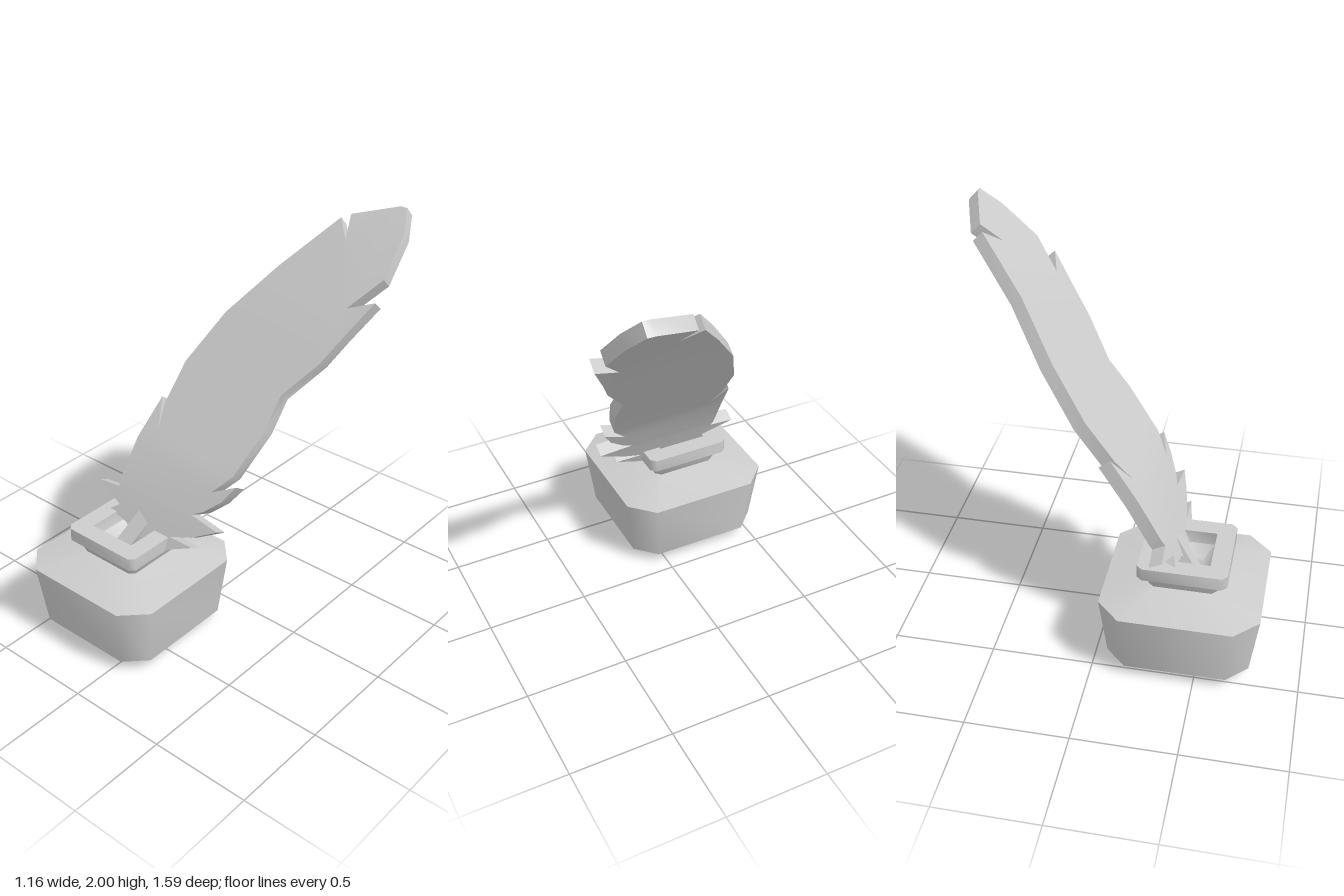
import * as THREE from 'three';
import { toCreasedNormals } from 'three/addons/utils/BufferGeometryUtils.js';

const grey = new THREE.MeshStandardMaterial({ color: 0xcccccc });
grey.name = 'plain grey';

function meshFrom(points, crease, name) {
  const g = new THREE.BufferGeometry().setFromPoints(points);
  const mesh = new THREE.Mesh(toCreasedNormals(g, crease), grey);
  mesh.name = name;
  return mesh;
}

// Square ring with cut corners: half width, corner cut, height
function ring([h, c, y]) {
  const k = h - c;
  return [[h, -k], [h, k], [k, h], [-k, h], [-h, k], [-h, -k], [-k, -h], [k, -h]]
    .map(([x, z]) => new THREE.Vector3(x, y, z));
}

// Ink bottle: body, neck, collar and hollow mouth in one lofted skin
function createBottle() {
  const rings = [
    [0.22, 0.06, 0], [0.345, 0.1, 0.055], [0.385, 0.115, 0.37],
    [0.165, 0.025, 0.42], [0.19, 0.025, 0.49], [0.215, 0.025, 0.49],
    [0.215, 0.025, 0.555], [0.125, 0.004, 0.555], [0.12, 0.004, 0.49], [0.07, 0.004, 0.43],
  ].map(ring);
  const tris = [];
  for (let r = 0; r < rings.length - 1; r++) {
    const lo = rings[r], up = rings[r + 1];
    for (let i = 0; i < 8; i++) {
      const j = (i + 1) % 8;
      tris.push(lo[i], up[i], up[j], lo[i], up[j], lo[j]);
    }
  }
  const base = rings[0], well = rings[rings.length - 1];
  for (let i = 1; i < 7; i++) {
    tris.push(base[0], base[i], base[i + 1], well[0], well[i + 1], well[i]);
  }
  const bottle = meshFrom(tris, 0.9, 'inkBottle');
  bottle.position.set(-0.2, 0, 0.41);
  return bottle;
}

// Backward lean of the feather: height to depth
const lean = [[0.5, 0.4], [0.65, 0.33], [0.87, 0.205], [1.2, -0.05], [1.67, -0.405], [2, -0.745]];
function depthAt(y) {
  let i = 0;
  while (i < lean.length - 2 && y > lean[i + 1][0]) i++;
  const [y0, z0] = lean[i], [y1, z1] = lean[i + 1];
  return z0 + (z1 - z0) * (y - y0) / (y1 - y0);
}

// Feather vane: outline runs up the left side, over the tip and down the right side
function createVane() {
  const outline = [
    [-0.1, 0.5], [0.02, 0.5], [0.16, 0.56], [0.02, 0.56], [0.14, 0.6], [0.27, 0.67],
    [0.1, 0.69], [0.16, 0.72], [0.24, 0.79], [0.29, 0.87], [0.17, 0.81], [0.25, 0.9],
    [0.31, 1.1], [0.315, 1.24], [0.44, 1.4], [0.5, 1.52], [0.58, 1.67], [0.455, 1.62],
    [0.565, 1.75], [0.55, 1.91], [0.5, 2], [0.465, 2], [0.245, 1.93], [0.285, 1.84],
    [0.205, 1.91], [0.02, 1.69], [-0.155, 1.46], [-0.26, 1.23], [-0.275, 1.05], [-0.25, 0.95],
    [-0.305, 1.07], [-0.345, 0.89], [-0.36, 0.7], [-0.355, 0.665], [-0.48, 0.655],
    [-0.32, 0.59], [-0.37, 0.555], [-0.25, 0.53], [-0.21, 0.5],
  ].map(([x, y]) => new THREE.Vector2(x, y));

  const front = outline.map((p) => new THREE.Vector3(p.x, p.y, depthAt(p.y)));
  const back = front.map((p) => {
    const slope = (depthAt(p.y + 0.12) - depthAt(p.y - 0.12)) / 0.24;
    return p.clone().addScaledVector(new THREE.Vector3(0, -slope, 1).normalize(), -0.068);
  });

  const tris = [];
  // Faces are filled in bands, each a pair of outline ranges, so they follow the bend
  const bands = [
    [0, 6, 33, 38], [6, 10, 31, 33], [10, 12, 28, 31], [12, 13, 27, 28],
    [13, 14, 26, 27], [14, 17, 25, 26], [17, 20, 21, 25],
  ];
  for (const [a, b, c, d] of bands) {
    const ids = [];
    for (let i = a; i <= b; i++) ids.push(i);
    for (let i = c; i <= d; i++) ids.push(i);
    for (const f of THREE.ShapeUtils.triangulateShape(ids.map((i) => outline[i]), [])) {
      const [p, q, r] = f.map((k) => ids[k]);
      tris.push(front[p], front[q], front[r], back[p], back[r], back[q]);
    }
  }
  // Rim
  front.forEach((p, i) => {
    const j = (i + 1) % front.length;
    tris.push(p, back[i], back[j], p, back[j], front[j]);
  });
  return meshFrom(tris, 0.6, 'featherVane');
}

// Quill shaft dipping into the bottle
function createShaft() {
  const top = new THREE.Vector3(-0.16, 0.58, 0.33);
  const tip = new THREE.Vector3(-0.22, 0.43, 0.445);
  const dir = top.clone().sub(tip);
  const shaft = new THREE.Mesh(new THREE.BoxGeometry(0.08, dir.length(), 0.055), grey);
  shaft.position.copy(top).add(tip).multiplyScalar(0.5);
  shaft.quaternion.setFromUnitVectors(new THREE.Vector3(0, 1, 0), dir.normalize());
  shaft.name = 'quillShaft';
  return shaft;
}

export function createModel() {
  const feather = new THREE.Group();
  feather.name = 'feather';
  feather.add(createVane(), createShaft());
  const model = new THREE.Group();
  model.name = 'quillAndInkBottle';
  model.add(createBottle(), feather);
  return model;
}
